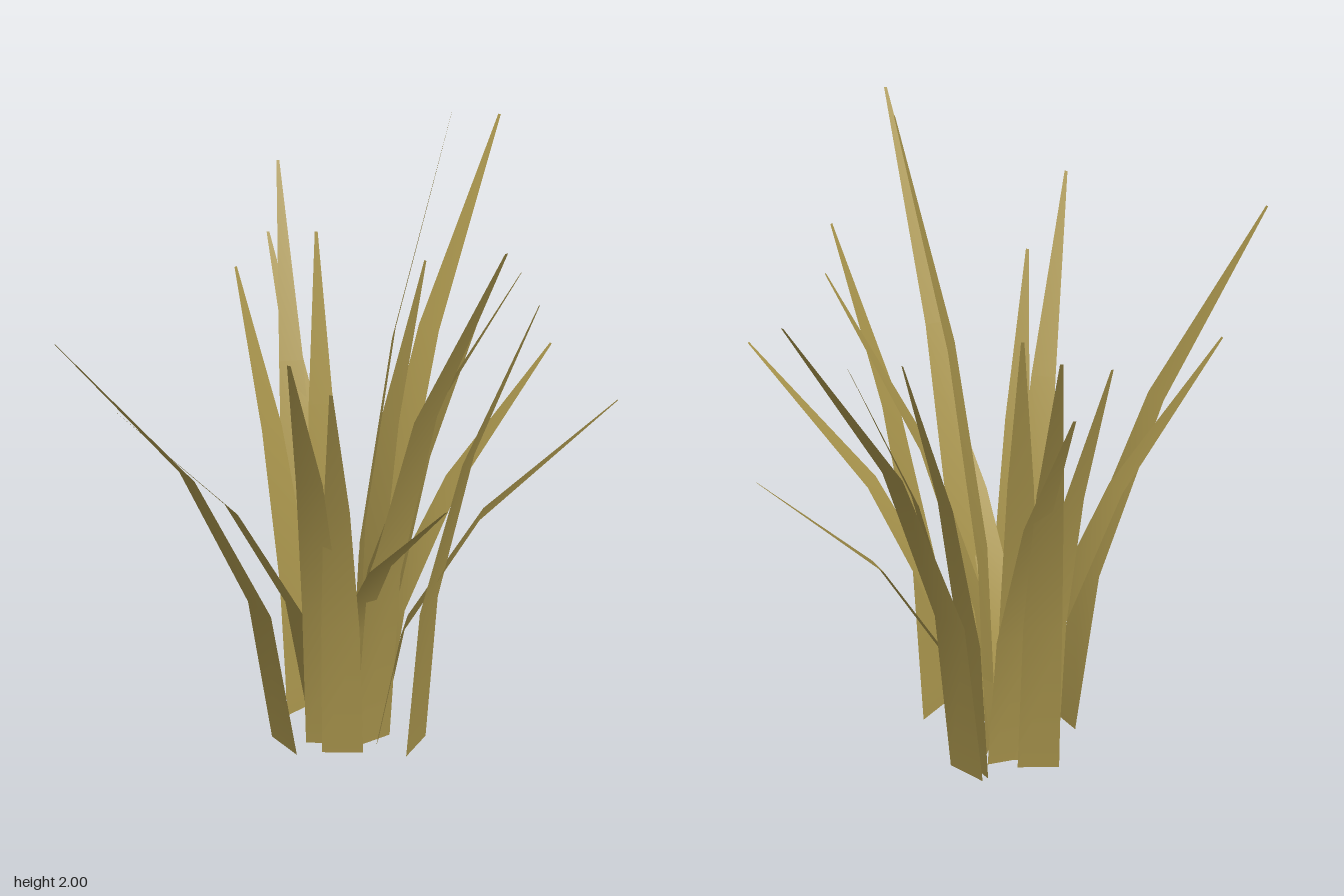
import * as THREE from 'three';

const SEGMENTS = 3;
const WIDTH = 0.126;

// One blade: straight up in y, leaning outwards with the square of its height,
// flat across its lean direction and narrowing to a point.
function bladeGeometry(baseX, baseZ, tipX, tipZ, height) {
  const dx = tipX - baseX, dz = tipZ - baseZ;
  const length = Math.hypot(dx, dz);
  const sideX = -dz / length, sideZ = dx / length;
  const positions = [], index = [];
  for (let i = 0; i <= SEGMENTS; i++) {
    const t = i / SEGMENTS, bend = t * t;
    const half = (WIDTH / 2) * (1 - 0.93 * bend);
    for (const s of [-1, 1]) {
      positions.push(
        baseX + dx * bend + s * sideX * half,
        height * t,
        baseZ + dz * bend + s * sideZ * half
      );
    }
    if (i < SEGMENTS) {
      const a = i * 2;
      index.push(a, a + 2, a + 1, a + 1, a + 2, a + 3);
    }
  }
  const geometry = new THREE.BufferGeometry();
  geometry.setAttribute('position', new THREE.Float32BufferAttribute(positions, 3));
  geometry.setIndex(index);
  geometry.computeVertexNormals();
  return geometry;
}

// base x, base z, tip x, tip z, height
const BLADES = [
  // leaning back
  [-0.16, -0.17, -0.07, -0.87, 1.72],
  [-0.10, -0.07, 0.22, -0.64, 1.10],
  [-0.08, -0.06, 0.13, -0.33, 1.34],
  [-0.17, -0.135, -0.08, -0.37, 1.42],
  // leaning left
  [-0.155, 0.0, 0.31, -0.18, 1.53],
  [-0.025, 0.045, 0.63, -0.14, 1.22],
  [0.103, 0.055, 0.47, 0.07, 1.56],
  [-0.14, 0.0, 0.13, -0.09, 2.0],
  // leaning forward
  [-0.03, 0.09, 0.53, 0.44, 1.86],
  [-0.165, 0.08, 0.37, 0.43, 1.08],
  [-0.083, 0.185, 0.08, 0.53, 1.41],
  [-0.15, 0.165, 0.08, 0.75, 1.59],
  [-0.26, 0.233, -0.54, 0.87, 1.57],
  [-0.245, 0.05, -0.55, 0.60, 1.25],
  // leaning right
  [-0.305, 0.028, -0.56, -0.08, 1.42],
  [-0.23, -0.05, -0.62, -0.38, 1.41],
  [-0.325, -0.025, -0.63, -0.47, 1.61],
  [-0.25, -0.03, -0.37, -0.23, 1.51],
];

export function createModel() {
  const dryGrass = new THREE.MeshStandardMaterial({ color: 0xa8944c, side: THREE.DoubleSide });
  dryGrass.name = 'dryGrass';

  const clump = new THREE.Group();
  clump.name = 'grassClump';
  BLADES.forEach((blade, i) => {
    const mesh = new THREE.Mesh(bladeGeometry(...blade), dryGrass);
    mesh.name = `grassBlade${i + 1}`;
    clump.add(mesh);
  });
  return clump;
}
